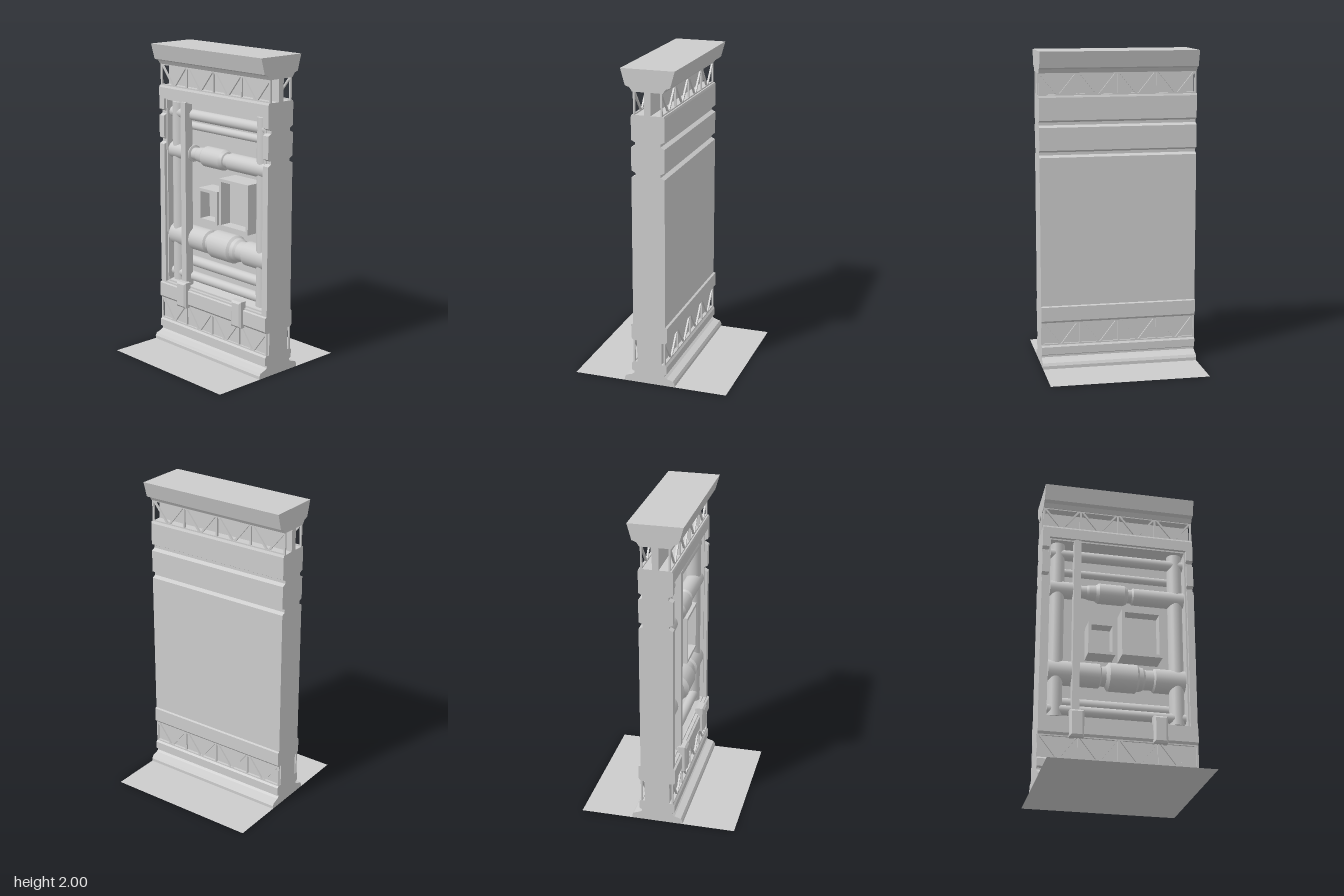
import * as THREE from 'three';

const mat = new THREE.MeshStandardMaterial({ color: 0xcccccc });

export function createModel() {
  const root = new THREE.Group();

  const add = (name, geo, x = 0, y = 0, z = 0, material = mat) => {
    const m = new THREE.Mesh(geo, material);
    m.name = name;
    m.position.set(x, y, z);
    root.add(m);
    return m;
  };

  // box given by its limits
  const box = (name, x0, x1, y0, y1, z0, z1) =>
    add(name, new THREE.BoxGeometry(x1 - x0, y1 - y0, z1 - z0), (x0 + x1) / 2, (y0 + y1) / 2, (z0 + z1) / 2);

  // outline of [z, y] points swept along x
  const sweep = (name, pts, x0, x1) => {
    const shape = new THREE.Shape(pts.map(([z, y]) => new THREE.Vector2(-z, y)));
    const geo = new THREE.ExtrudeGeometry(shape, { depth: x1 - x0, bevelEnabled: false });
    geo.rotateY(Math.PI / 2);
    return add(name, geo, x0);
  };

  // half outline [z, y] mirrored to the back, full width
  const symmetric = (name, half) =>
    sweep(name, [...half, ...half.map(([z, y]) => [-z, y]).reverse()], -0.5, 0.5);

  const rect = (P, x0, x1, y0, y1) =>
    new P([[x0, y0], [x1, y0], [x1, y1], [x0, y1]].map((p) => new THREE.Vector2(...p)));

  // rectangular ring facing the front
  const ring = (name, x0, x1, y0, y1, t, z0, z1) => {
    const s = rect(THREE.Shape, x0, x1, y0, y1);
    s.holes.push(rect(THREE.Path, x0 + t, x1 - t, y0 + t, y1 - t));
    add(name, new THREE.ExtrudeGeometry(s, { depth: z1 - z0, bevelEnabled: false }), 0, 0, z0);
  };

  // floor sheet
  const floor = new THREE.PlaneGeometry(1, 1).rotateX(-Math.PI / 2);
  add('floor', floor, 0, 0, 0, new THREE.MeshStandardMaterial({ color: 0xcccccc, side: THREE.DoubleSide }));

  // mouldings and cores, bottom to top
  symmetric('base', [[0.165, 0], [0.165, 0.02], [0.155, 0.037], [0.115, 0.05], [0.1, 0.06], [0.1, 0.072],
    [0.115, 0.08], [0.115, 0.128], [0.105, 0.14]]);
  symmetric('lowerCore', [[0.08, 0.14], [0.08, 0.285]]);
  symmetric('lowerBand', [[0.105, 0.285], [0.118, 0.3], [0.118, 0.39], [0.105, 0.395], [0.105, 0.405]]);
  symmetric('topRail', [[0.105, 1.645], [0.105, 1.715], [0.1, 1.727]]);
  symmetric('upperCore', [[0.02, 1.727], [0.02, 1.865]]);
  symmetric('cornice', [[0.095, 1.865], [0.105, 1.88], [0.112, 1.89], [0.14, 1.9], [0.168, 2]]);

  // grooved back slab and side stiles
  const grooved = [[0.105, 0.4]];
  for (const y of [1.365, 1.552])
    grooved.push([0.105, y - 0.022], [0.08, y - 0.009], [0.08, y + 0.009], [0.105, y + 0.022]);
  grooved.push([0.105, 1.65]);
  sweep('backPanel', [...grooved.map(([z, y]) => [-z, y]), [-0.075, 1.65], [-0.075, 0.4]], -0.5, 0.5);
  for (const x of [-0.5, 0.455])
    sweep('sideStile', [...grooved, [-0.075, 1.65], [-0.075, 0.4]], x, x + 0.045);

  // stepped lip and sloped sills inside the opening
  ring('innerLip', -0.46, 0.46, 0.4, 1.65, 0.015, -0.08, 0.085);
  sweep('topSlope', [[0.08, 1.636], [-0.076, 1.605], [-0.076, 1.636]], -0.446, 0.446);
  sweep('bottomSlope', [[0.08, 0.414], [-0.076, 0.414], [-0.076, 0.445]], -0.446, 0.446);

  // zigzag trusses on both faces
  const bar = (x0, y0, x1, y1, z) => {
    const len = Math.hypot(x1 - x0, y1 - y0);
    const m = add('trussBar', new THREE.BoxGeometry(0.012, len, 0.011), (x0 + x1) / 2, (y0 + y1) / 2, z);
    m.rotation.z = Math.atan2(x0 - x1, y1 - y0);
  };
  for (const [y0, y1, zc] of [[0.138, 0.288, 0.1], [1.725, 1.868, 0.085]])
    for (const z of [zc, -zc]) {
      for (let i = 0; i < 5; i++) {
        const x = Math.max(-0.494, Math.min(0.494, -0.5 + i * 0.25));
        bar(x, y0, x, y1, z);
        if (i < 4) {
          const a = -0.5 + i * 0.25;
          bar(a + 0.012, y1 - 0.006, a + 0.118, y0 + 0.006, z);
          bar(a + 0.238, y1 - 0.006, a + 0.132, y0 + 0.006, z);
        }
      }
      for (const y of [y0 + 0.005, y1 - 0.005])
        box('trussChord', -0.5, 0.5, y - 0.005, y + 0.005, z - 0.0055, z + 0.0055);
    }

  // pipes: runs of [x, radius], each section with its own smooth wall
  const pipe = (name, y, z, run) => {
    for (let i = 0; i < run.length - 1; i++) {
      const [x0, r0] = run[i], [x1, r1] = run[i + 1];
      const g = new THREE.CylinderGeometry(r1, r0, x1 - x0, 24, 1, i > 0 && i < run.length - 2);
      add(name, g.rotateZ(-Math.PI / 2), (x0 + x1) / 2, y, z);
    }
  };
  pipe('topPipe', 1.555, 0.035, [[-0.44, 0.035], [0.44, 0.035]]);
  pipe('upperRearPipe', 1.465, -0.035, [[-0.36, 0.025], [0.36, 0.025]]);
  pipe('couplingPipe', 1.303, 0.03, [[-0.44, 0.055], [-0.24, 0.055], [-0.235, 0.04], [-0.2, 0.042], [-0.185, 0.048],
    [-0.14, 0.052], [-0.12, 0.066], [0.045, 0.066], [0.065, 0.055], [0.07, 0.045], [0.095, 0.045], [0.105, 0.055],
    [0.44, 0.055]]);
  pipe('mainPipe', 0.732, 0.01, [[-0.44, 0.078], [-0.11, 0.078], [-0.1, 0.064], [-0.07, 0.064], [-0.05, 0.092],
    [0.125, 0.092], [0.14, 0.078], [0.165, 0.075], [0.18, 0.064], [0.235, 0.064], [0.245, 0.078], [0.44, 0.078]]);
  pipe('lowerRearPipe', 0.548, -0.035, [[-0.36, 0.035], [0.36, 0.035]]);
  pipe('bottomPipe', 0.475, 0.035, [[-0.44, 0.032], [0.44, 0.032]]);
  for (const x of [-0.39, 0.39])
    add('uprightPipe', new THREE.CylinderGeometry(0.048, 0.048, 1.2, 24), x, 1.025, 0.025);

  // open-fronted boxes on the back panel
  for (const [x0, x1, y0, y1, z1] of [[-0.185, -0.01, 0.87, 1.09, 0.05], [0.03, 0.293, 0.87, 1.19, 0.07]]) {
    ring('boxFrame', x0, x1, y0, y1, 0.02, -0.08, z1);
    box('boxPlate', x0 + 0.01, x1 - 0.01, y0 + 0.01, y1 - 0.01, -0.08, z1 - 0.08);
  }

  // vertical strap and the two clamps at its foot rail
  box('strap', -0.292, -0.247, 0.38, 1.64, 0.045, 0.105);
  for (const x of [-0.265, 0.257]) {
    const s = rect(THREE.Shape, -0.032, 0.032, -0.074, 0.074);
    const g = new THREE.ExtrudeGeometry(s, {
      depth: 0.04, bevelThickness: 0.012, bevelSize: 0.013, bevelSegments: 1,
    });
    add('clamp', g, x, 0.361, 0.093);
  }

  return root;
}
